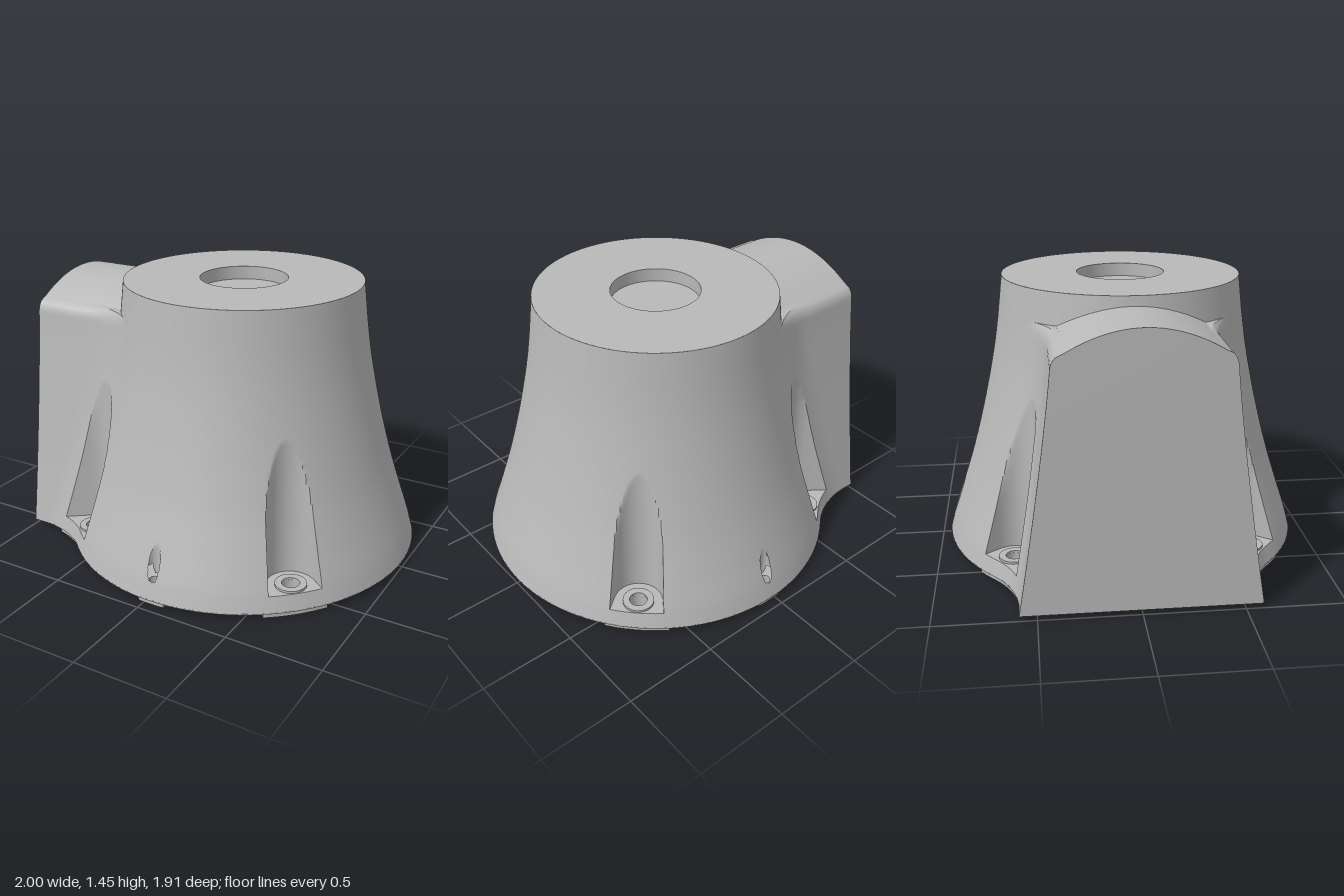
import * as THREE from 'three';
import { toCreasedNormals } from 'three/addons/utils/BufferGeometryUtils.js';

const RAD = Math.PI / 180, AXIS_X = 0.04, END = 1.04, FILLET = 0.5, SHOULDER = 1.29;
const POCKET_D = 0.849, POCKET_R = 0.125, FLOOR_Y = 0.11, BASE_Y = 0.03, TOP_Y = 1.45;
const POCKETS = [45, 135, -45, -135], PINS = [90, -90], PIN_D = 0.9, PIN_R = 0.03;

// Angle a is measured around the axis from -x towards +z.
const px = (r, a) => AXIS_X - r * Math.cos(a);
const pz = (r, a) => r * Math.sin(a);

// Flared body radius by height
const spline = new THREE.SplineCurve([
  [0.03, 0.955], [0.13, 0.927], [0.3, 0.87], [0.5, 0.807], [0.75, 0.742],
  [1.0, 0.688], [1.2, 0.655], [1.45, 0.625]].map(p => new THREE.Vector2(...p)));
const samples = spline.getPoints(210);
function bodyR(y) {
  let i = 1;
  while (i < samples.length - 1 && samples[i].x < y) i++;
  const a = samples[i - 1], b = samples[i];
  return a.y + (b.y - a.y) * (y - a.x) / (b.x - a.x);
}

// Half width of the side housing, with rounded shoulders, and its arched roof
function halfWidth(y) {
  const t = Math.min(1, (y - BASE_Y) / 1.27), u = THREE.MathUtils.clamp((y - 1.22) / 0.07, 0, 1);
  return 0.41 + 0.175 * (1 - t) ** 1.2 - 0.05 * (1 - Math.sqrt(1 - u * u));
}
const roof = z => Math.max(SHOULDER, 1.4 - 0.11 * (z / 0.36) ** 2);

// Ray against a vertical cylinder at distance d: near and far radius
function hit(da, d, R) {
  const s = d * Math.sin(da), c = d * Math.cos(da);
  if (c < 0 || Math.abs(s) >= R) return null;
  const h = Math.sqrt(R * R - s * s);
  return [c - h, c + h];
}

// Radius of body plus housing plus the fillet between them
function outer(a, y) {
  const p = Math.abs(a), R = bodyR(y), w = halfWidth(y), d = R + FILLET, zc = w + FILLET;
  const xc = Math.sqrt(d * d - zc * zc), ac = Math.atan2(zc, xc);
  if (p >= ac) return R;
  if (p >= Math.atan2(w, xc)) {
    const s = d * Math.sin(ac - p);
    return d * Math.cos(ac - p) - Math.sqrt(Math.max(0, FILLET * FILLET - s * s));
  }
  return Math.min(END / Math.cos(p), w / Math.max(1e-6, Math.sin(p)));
}

// Let one column of points follow the sloping corner of the housing
const C0 = 29.4 * RAD, C1 = 34 * RAD;
function warp(a, y) {
  const p = Math.abs(a), c = Math.atan2(halfWidth(Math.min(y, SHOULDER)), END);
  if (p >= C1) return a;
  return Math.sign(a) * (p <= C0 ? p / C0 * c : c + (p - C0) / (C1 - C0) * (C1 - c));
}

function columns() {
  const list = [];
  for (let i = -180; i <= 180; i++) list.push(i * RAD);
  for (const s of [1, -1]) {
    list.push(s * C0);
    for (let t = 29.7; t < 34; t += 0.3) list.push(s * t * RAD);
    for (let t = -2; t <= 2; t += 0.25) list.push(s * (90 + t + 0.01) * RAD);
  }
  const e = Math.asin(POCKET_R / POCKET_D);
  for (const p of POCKETS) for (const s of [1, -1])
    list.push(p * RAD + s * (e - 1e-4), p * RAD + s * (e + 1e-4));
  return list.sort((a, b) => a - b);
}

// Outer shell: walls, pockets, housing roof, upper body
function shellGeometry() {
  const cols = columns(), WALL = 90, ROOF = 8, UP = 6;
  const grid = cols.map(a0 => {
    const pts = [];
    const add = (r, y, a, cut = 0, big = false) => pts.push({ x: px(r, a), y, z: pz(r, a), cut, big });
    for (const y of [BASE_Y, FLOOR_Y]) { const a = warp(a0, y); add(outer(a, y), y, a); }
    const aTop = warp(a0, SHOULDER);
    const yTop = Math.abs(a0) <= C0 ? roof(END * Math.tan(aTop)) : SHOULDER;
    for (let j = 0; j <= WALL; j++) {
      const y = FLOOR_Y + (yTop - FLOOR_Y) * j / WALL, a = warp(a0, y);
      let r = Math.abs(a0) <= C0 ? END / Math.cos(a) : outer(a, y), cut = 0, big = false;
      for (const p of POCKETS) {
        const h = hit(a - p * RAD, POCKET_D, POCKET_R);
        if (h && h[0] < r) { r = h[0]; cut = 1; }
      }
      for (const p of PINS) {
        const h = hit(a - p * RAD, PIN_D, PIN_R);
        if (h && r > h[1]) big = true;
        else if (h && r > h[0]) { r = h[0]; cut = 2; }
      }
      add(r, y, a, cut, big);
    }
    const rOut = Math.abs(a0) <= C0 ? END / Math.cos(aTop) : outer(aTop, SHOULDER);
    const joined = rOut > bodyR(SHOULDER) + 1e-4;
    const yIn = joined ? roof(pz(bodyR(1.35), aTop)) : SHOULDER, rIn = bodyR(yIn);
    for (let j = 1; j <= ROOF; j++) {
      const r = rOut + (rIn - rOut) * j / ROOF;
      add(r, j === ROOF ? yIn : joined ? roof(pz(r, aTop)) : SHOULDER, aTop);
    }
    for (let j = 1; j <= UP; j++) {
      const y = yIn + (TOP_Y - yIn) * j / UP;
      add(bodyR(y), y, aTop);
    }
    return pts;
  });
  const pos = [];
  const tri = (...v) => v.forEach(p => pos.push(p.x, p.y, p.z));
  for (let i = 0; i < grid.length - 1; i++) for (let j = 0; j < grid[i].length - 1; j++) {
    if (j === 1) continue; // pocket floors are separate
    const a = grid[i][j], b = grid[i + 1][j], c = grid[i + 1][j + 1], d = grid[i][j + 1];
    const q = [a, b, c, d];
    if (q.some(p => p.cut === 2) && q.some(p => p.big)) continue; // mouth of pin hole
    tri(a, b, c);
    tri(a, c, d);
  }
  const g = new THREE.BufferGeometry();
  g.setAttribute('position', new THREE.Float32BufferAttribute(pos, 3));
  return toCreasedNormals(g, 0.5);
}

// Slot outline: round at the inside, open to the rim
function slotShape(deg, d, R, y, hole, inset = 0) {
  const inner = [], rim = [], e = Math.asin(R / d) - 1e-4;
  for (let k = 0; k <= 24; k++) {
    const t = -Math.cos(k / 24 * Math.PI) * e, a = deg * RAD + t, r = hit(t, d, R)[0];
    const o = Math.max(r, outer(a, y) - inset);
    inner.push(new THREE.Vector2(px(r, a), -pz(r, a)));
    rim.unshift(new THREE.Vector2(px(o, a), -pz(o, a)));
  }
  const s = new THREE.Shape([...inner, ...rim]);
  s.holes.push(holePath(deg, d, hole));
  return s;
}
function holePath(deg, d, r) {
  return new THREE.Path().absarc(px(d, deg * RAD), -pz(d, deg * RAD), r, 0, Math.PI * 2, true);
}

export function createModel() {
  const model = new THREE.Group();
  const grey = new THREE.MeshStandardMaterial({ color: 0xb8b8b8, side: THREE.DoubleSide });
  grey.name = 'cast grey';
  const add = (name, geo, x = 0, y = 0, z = 0) => {
    const m = new THREE.Mesh(geo, grey);
    m.name = name;
    m.position.set(x, y, z);
    model.add(m);
  };
  const slab = (shape, depth) =>
    new THREE.ExtrudeGeometry(shape, { depth, bevelEnabled: false, curveSegments: 24 }).rotateX(-Math.PI / 2);

  add('bodyShell', shellGeometry());

  // Top face with round recess
  const rim = [[0.625, TOP_Y], [0.23, TOP_Y], [0.23, 1.38], [0, 1.38]].map(p => new THREE.Vector2(...p));
  add('topFace', toCreasedNormals(new THREE.LatheGeometry(rim, 96), 0.5), AXIS_X);

  // Base plate with bolt and pin holes
  const base = new THREE.Shape(columns().map(a0 => {
    const a = warp(a0, BASE_Y), r = outer(a, BASE_Y);
    return new THREE.Vector2(px(r, a), -pz(r, a));
  }).slice(0, -1));
  POCKETS.forEach(p => base.holes.push(holePath(p, POCKET_D, 0.045)));
  PINS.forEach(p => base.holes.push(holePath(p, PIN_D, PIN_R)));
  add('basePlate', slab(base, 0.006), 0, 0.025);

  // Pocket floors, bolt seats, bolt holes and feet
  for (const p of POCKETS) {
    const x = px(POCKET_D, p * RAD), z = pz(POCKET_D, p * RAD);
    const floor = new THREE.ShapeGeometry(slotShape(p, POCKET_D, POCKET_R, FLOOR_Y, 0.045), 24);
    add('pocketFloor', floor.rotateX(-Math.PI / 2), 0, FLOOR_Y);
    const seat = new THREE.Shape().absarc(0, 0, 0.08, 0, Math.PI * 2);
    seat.holes.push(new THREE.Path().absarc(0, 0, 0.045, 0, Math.PI * 2, true));
    add('boltSeat', slab(seat, 0.012), x, FLOOR_Y, z);
    add('boltHole', new THREE.CylinderGeometry(0.045, 0.045, FLOOR_Y, 24, 1, true), x, FLOOR_Y / 2, z);
    add('cornerFoot', slab(slotShape(p, POCKET_D, 0.15, BASE_Y, 0.045, 0.01), 0.025));
  }
  for (const p of PINS) {
    const x = px(PIN_D, p * RAD), z = pz(PIN_D, p * RAD);
    add('pinHole', new THREE.CylinderGeometry(PIN_R, PIN_R, 0.12, 24, 1, true), x, 0.06, z);
    add('pinFoot', slab(slotShape(p, PIN_D, 0.07, BASE_Y, PIN_R, 0.01), 0.025));
  }
  return model;
}
